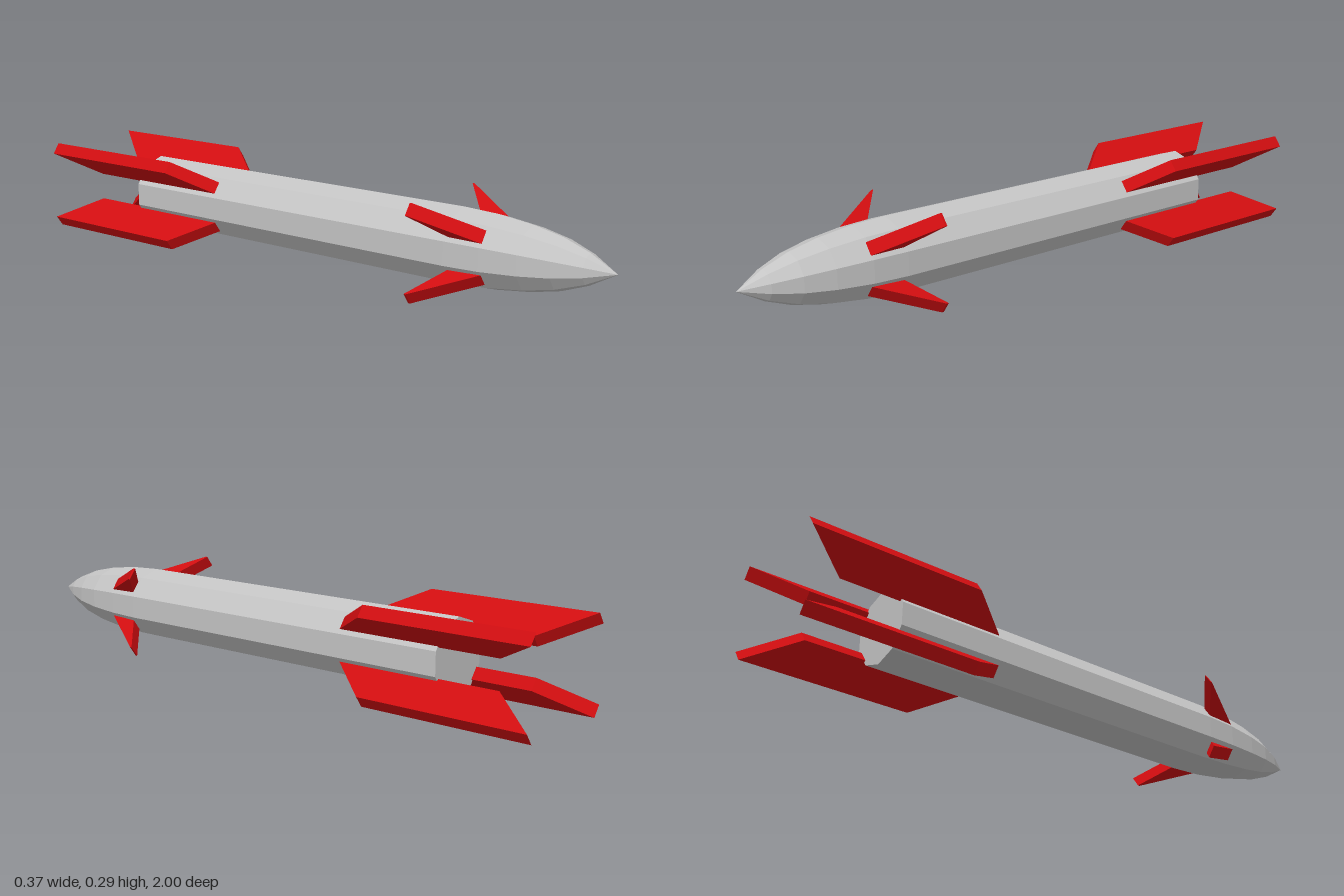
import * as THREE from 'three';

const hullGrey = new THREE.MeshStandardMaterial({ color: 0xc4c4c4 });
hullGrey.name = 'hull grey';
const finRed = new THREE.MeshStandardMaterial({ color: 0xd00d10 });
finRed.name = 'fin red';

const AXIS_Y = 0.148;
const FIN_ANGLE = Math.PI / 5;

// Flat plate outlined by [radius, z] points, lying in the plane through the body axis
function finGeometry(outline, thickness) {
  const shape = new THREE.Shape(outline.map(([r, z]) => new THREE.Vector2(r, z)));
  const geo = new THREE.ExtrudeGeometry(shape, { depth: thickness, bevelEnabled: false });
  geo.translate(0, 0, -thickness / 2);
  geo.rotateX(Math.PI / 2);
  return geo;
}

// Four copies of a fin in an X around the body
function finSet(name, geo) {
  const set = new THREE.Group();
  set.name = name + 's';
  for (const angle of [FIN_ANGLE, Math.PI - FIN_ANGLE, Math.PI + FIN_ANGLE, -FIN_ANGLE]) {
    const fin = new THREE.Mesh(geo, finRed);
    fin.name = name;
    fin.rotation.z = angle;
    set.add(fin);
  }
  return set;
}

export function createModel() {
  const model = new THREE.Group();
  model.name = 'missile';
  const assembly = new THREE.Group();
  assembly.name = 'airframe';
  assembly.position.y = AXIS_Y;
  model.add(assembly);

  // Ten-sided tube with a pointed, curved nose: [radius, z]
  const profile = [
    [0, -0.67], [0.114, -0.67], [0.114, 0.53], [0.109, 0.64],
    [0.095, 0.75], [0.075, 0.84], [0.045, 0.92], [0, 1],
  ].map(([r, z]) => new THREE.Vector2(r, z));
  const bodyGeo = new THREE.LatheGeometry(profile, 10).rotateX(Math.PI / 2).toNonIndexed();
  bodyGeo.computeVertexNormals();
  const body = new THREE.Mesh(bodyGeo, hullGrey);
  body.name = 'body';
  assembly.add(body);

  // Swept tail fins reaching behind the body
  assembly.add(finSet('tailFin', finGeometry(
    [[0.101, -0.86], [0.217, -1], [0.217, -0.465], [0.101, -0.325]], 0.04)));

  // Small pointed fins behind the nose
  assembly.add(finSet('noseFin', finGeometry(
    [[0.101, 0.545], [0.217, 0.455], [0.217, 0.462], [0.101, 0.648]], 0.04)));

  return model;
}
